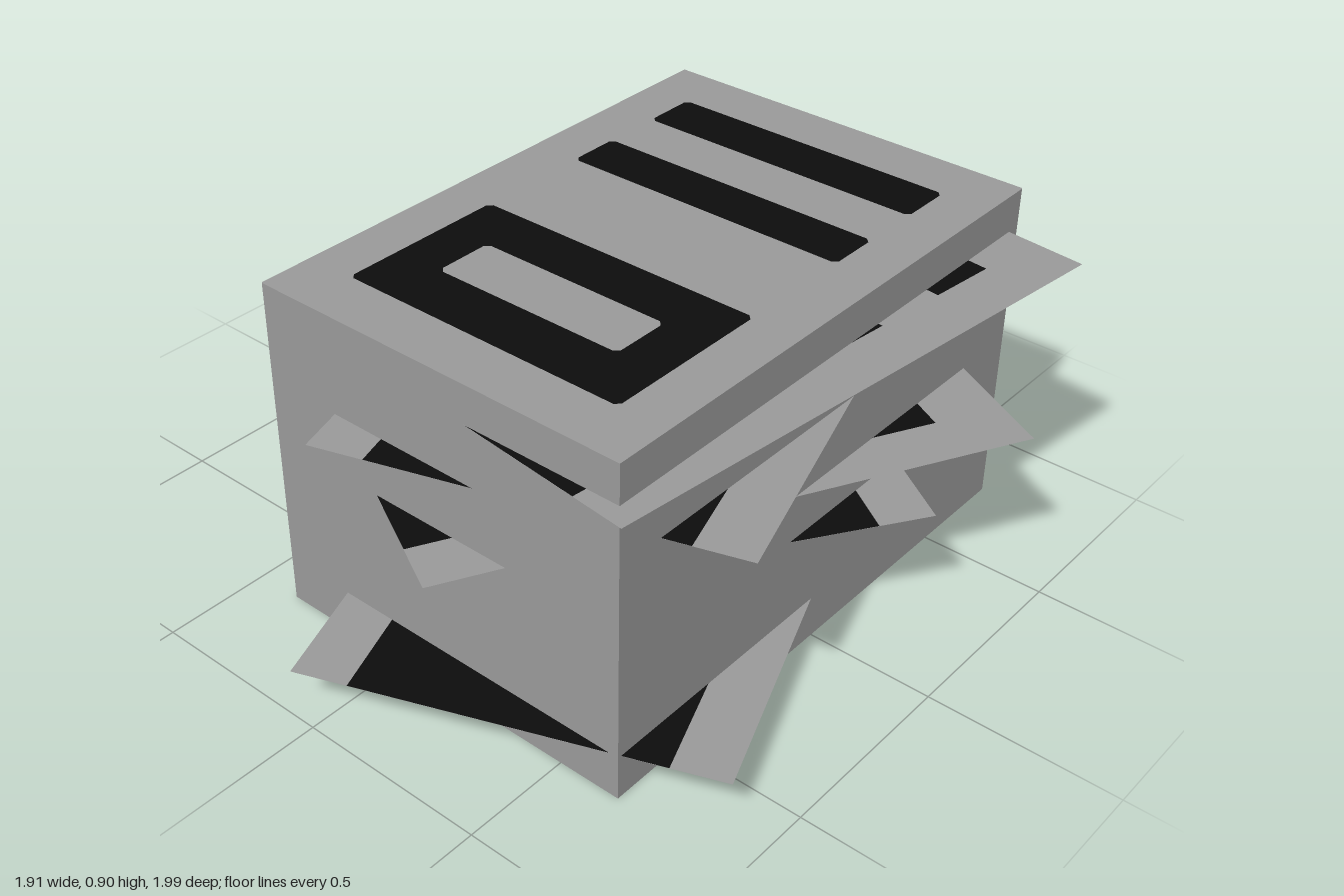
import * as THREE from 'three';

const W = 1.042, L = 1.49, H = 0.9;      // sheet width, sheet length, stack height
const CX = 0.146, CZ = -0.03;            // centre of the stack

// Rectangle outline with small clipped corners; z runs down the page
function outline(Type, x, z0, z1, c = 0) {
  const p = new Type();
  const a = -z1, b = -z0;
  p.moveTo(-x + c, a);
  p.lineTo(x - c, a);
  p.lineTo(x, a + c);
  p.lineTo(x, b - c);
  p.lineTo(x - c, b);
  p.lineTo(-x + c, b);
  p.lineTo(-x, b - c);
  p.lineTo(-x, a + c);
  p.closePath();
  return p;
}

// A flat page: paper with cut-outs, filled by ink lying in the same plane
function makePage(name, print, paper, ink) {
  const group = new THREE.Group();
  group.name = name;
  const { x, bars, block, hole, c } = print;
  const flat = (shapes, material, part) => {
    const mesh = new THREE.Mesh(new THREE.ShapeGeometry(shapes).rotateX(-Math.PI / 2), material);
    mesh.name = part;
    group.add(mesh);
  };
  const page = outline(THREE.Shape, W / 2, -L / 2, L / 2);
  const inked = [...bars, block];
  for (const [a, b] of inked) page.holes.push(outline(THREE.Path, x, a, b, c));
  const shapes = inked.map(([a, b]) => outline(THREE.Shape, x, a, b, c));
  shapes[shapes.length - 1].holes.push(outline(THREE.Path, hole[0], hole[1], hole[2], c));
  flat([page, outline(THREE.Shape, hole[0], hole[1], hole[2], c)], paper, 'paper');
  flat(shapes, ink, 'ink');
  return group;
}

export function createModel() {
  const paper = new THREE.MeshStandardMaterial({ color: 0x999999, side: THREE.DoubleSide });
  paper.name = 'grey paper';
  const ink = new THREE.MeshStandardMaterial({ color: 0x0c0c0c, side: THREE.DoubleSide });
  ink.name = 'black ink';

  const model = new THREE.Group();
  model.name = 'paperStack';

  // Solid body of the stack
  const body = new THREE.Mesh(new THREE.BoxGeometry(W, H - 0.002, L), paper);
  body.name = 'stackBody';
  body.position.set(CX, (H - 0.002) / 2, CZ);
  model.add(body);

  // Printed top page
  const topPrint = {
    x: 0.392, bars: [[-0.595, -0.45], [-0.295, -0.155]],
    block: [0.15, 0.6], hole: [0.262, 0.295, 0.45], c: 0.012,
  };
  const top = makePage('topPage', topPrint, paper, ink);
  top.position.set(CX, H, CZ);
  model.add(top);

  // Loose pages sticking out of the stack: x, height, z, turn
  const loosePrint = {
    x: 0.38, bars: [[-0.563, -0.385], [-0.19, -0.015]],
    block: [0.17, L / 2 - 0.0005], hole: [0.262, 0.34, 0.5], c: 0,
  };
  const loose = [
    [0.146, 0.12, 0.108, 0.368],
    [-0.045, 0.35, -0.155, 0.994],
    [0.147, 0.473, -0.024, -0.482],
    [0.143, 0.64, -0.03, 0.309],
    [0.28, 0.796, -0.03, -0.11],
  ];
  loose.forEach(([x, y, z, turn], i) => {
    const page = makePage('loosePage' + (i + 1), loosePrint, paper, ink);
    page.position.set(x, y, z);
    page.rotation.y = turn;
    model.add(page);
  });

  return model;
}
